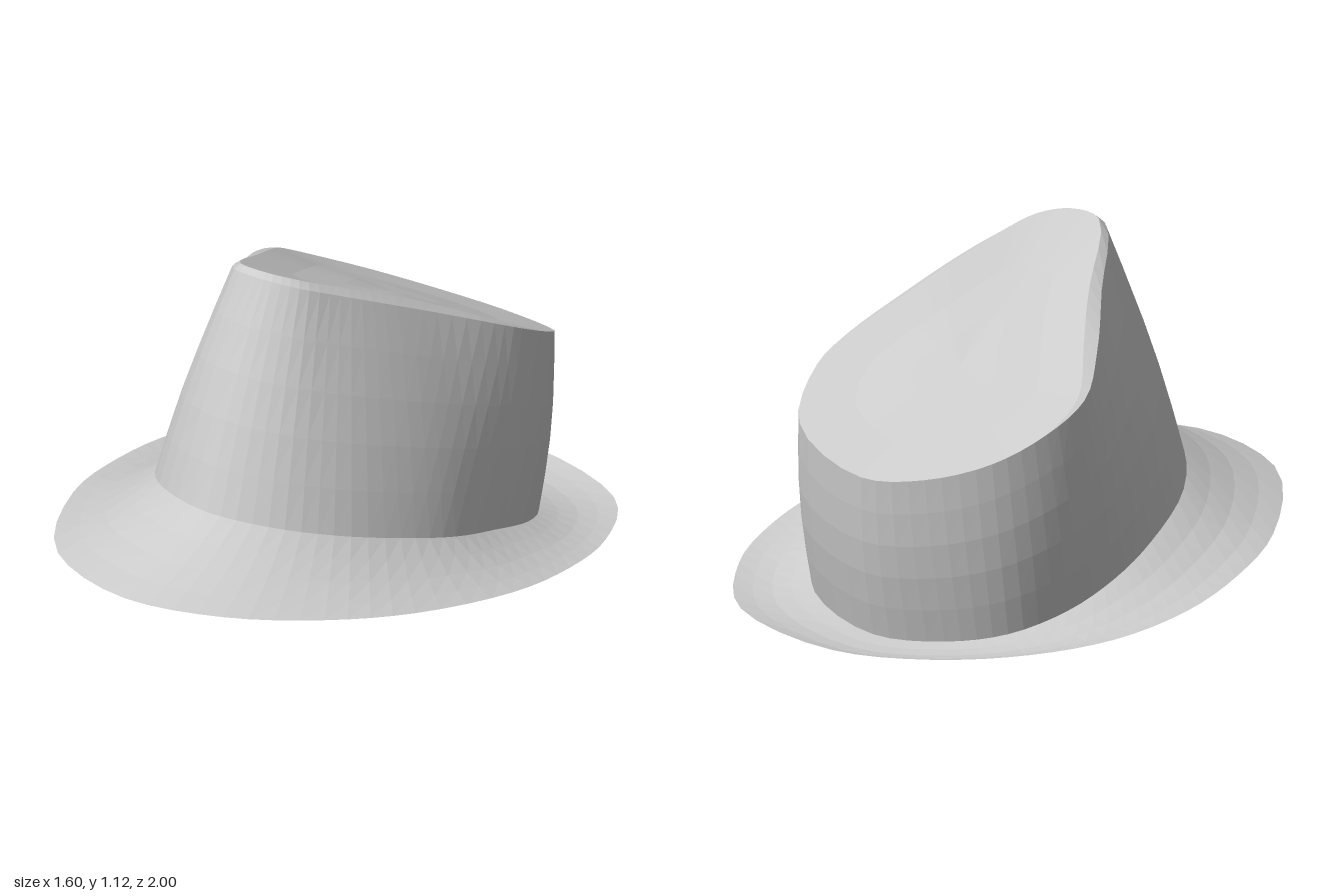
import * as THREE from 'three';

const SEGMENTS = 64;

// Closed outlines as [x, z], all starting at the front and running via the left side
const BRIM = [[0.1, 1], [0.4, 0.88], [0.61, 0.65], [0.74, 0.38], [0.8, 0], [0.76, -0.3], [0.66, -0.57], [0.42, -0.87],
  [-0.04, -1], [-0.36, -0.91], [-0.6, -0.73], [-0.75, -0.5], [-0.8, -0.21], [-0.76, 0.09], [-0.64, 0.43], [-0.3, 0.87]];
const BASE = [[0.1, 0.63], [0.29, 0.555], [0.42, 0.4], [0.5, 0.185], [0.53, -0.03], [0.5, -0.24], [0.45, -0.45], [0.31, -0.64],
  [-0.02, -0.77], [-0.26, -0.72], [-0.42, -0.61], [-0.51, -0.43], [-0.53, -0.22], [-0.5, 0], [-0.4, 0.29], [-0.2, 0.52]];
const TOP = [[0.07, 0.34], [0.17, 0.285], [0.235, 0.17], [0.29, 0.03], [0.345, -0.15], [0.4, -0.35], [0.41, -0.5], [0.3, -0.73],
  [-0.04, -0.86], [-0.25, -0.81], [-0.42, -0.69], [-0.51, -0.53], [-0.53, -0.37], [-0.43, -0.18], [-0.26, 0.06], [-0.06, 0.33]];

// Smooth ring through an outline, lifted by a height rule
function ring(outline, height) {
  const pts = outline.map(([x, z]) => new THREE.Vector3(x, height(x, z), z));
  return new THREE.CatmullRomCurve3(pts, true).getPoints(SEGMENTS).slice(0, SEGMENTS);
}

// Ring between two rings, with an offset outward from the hat's axis and upward
function between(a, b, t, out = 0, up = 0) {
  return a.map((p, i) => {
    const q = p.clone().lerp(b[i], t);
    const dir = new THREE.Vector3(q.x, 0, q.z + 0.1).normalize();
    q.addScaledVector(dir, out);
    q.y += up;
    return q;
  });
}

// Skin over a list of rings
function loft(name, rings) {
  const index = [];
  for (let r = 0; r < rings.length - 1; r++) {
    for (let i = 0; i < SEGMENTS; i++) {
      const j = (i + 1) % SEGMENTS;
      const a = r * SEGMENTS + i, b = r * SEGMENTS + j;
      index.push(a, b, b + SEGMENTS, a, b + SEGMENTS, a + SEGMENTS);
    }
  }
  const geometry = new THREE.BufferGeometry().setFromPoints(rings.flat());
  geometry.setIndex(index);
  geometry.computeVertexNormals();
  const material = new THREE.MeshStandardMaterial({ color: 0xcccccc, flatShading: true, side: THREE.DoubleSide });
  const mesh = new THREE.Mesh(geometry, material);
  mesh.name = name;
  return mesh;
}

export function createModel() {
  const hat = new THREE.Group();
  hat.name = 'hat';

  const topHeight = (x, z) => 0.965 + 0.44 * z - 0.05 * z * z + 0.05 * x;
  const edge = ring(BRIM, (x, z) => 0.148 + 0.12 * z + 0.02 * x);
  const base = ring(BASE, (x, z) => 0.247 + 0.29 * z + 0.03 * x);
  const rim = ring(TOP, topHeight);

  // Brim, flaring up into the crown
  hat.add(loft('brim', [edge, ...[0.25, 0.5, 0.75].map((t) =>
    between(edge, base, t, 0, -0.016 * Math.sin(Math.PI * t))), base]));

  // Open crown wall, slightly bulged
  const wall = [0, 0.2, 0.4, 0.6, 0.8, 1].map((t) => between(base, rim, t, 0.018 * Math.sin(Math.PI * t)));
  hat.add(loft('crown', wall));

  // Crown top: a bevel that fades out toward the back, then a shallow cap
  const bevel = rim.map((p) => {
    const k = THREE.MathUtils.smoothstep(p.z, -0.6, 0);
    return new THREE.Vector3(p.x * (1 - 0.12 * k), p.y + 0.015 * k, p.z - 0.02 * k);
  });
  const middle = rim.map(() => new THREE.Vector3(-0.03, topHeight(-0.03, -0.35) - 0.01, -0.35));
  hat.add(loft('crownTop', [rim, bevel, between(bevel, middle, 0.35, 0, -0.008), between(bevel, middle, 0.7), middle]));

  return hat;
}
